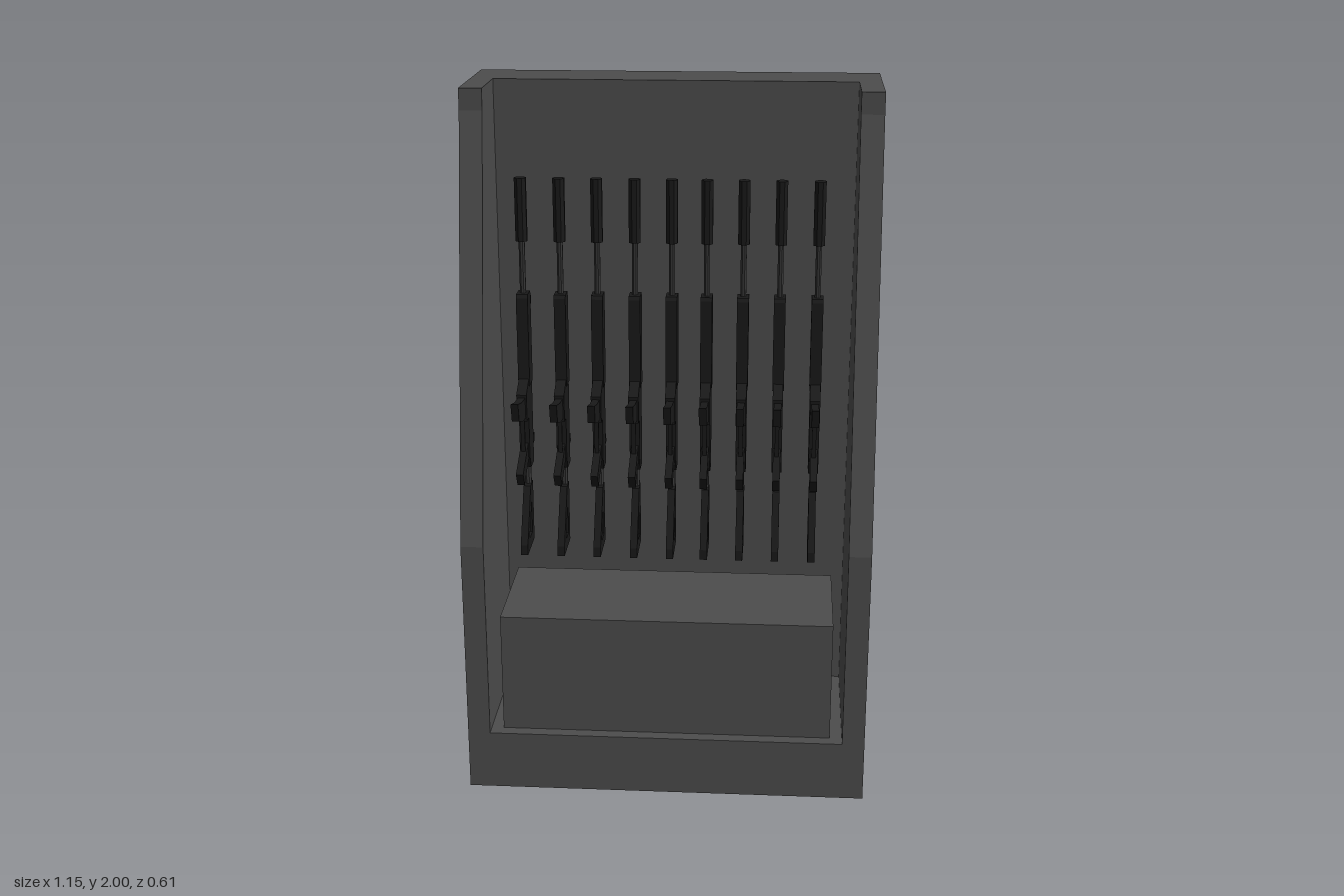
import * as THREE from 'three';

const material = (name, color) => {
  const m = new THREE.MeshStandardMaterial({ color });
  m.name = name;
  return m;
};

// Side profile given as [z, y] points, extruded across x and centred on x = 0
function profile(name, points, width, mat, hole) {
  const toVec = ([z, y]) => new THREE.Vector2(z, y);
  const shape = new THREE.Shape(points.map(toVec));
  if (hole) shape.holes.push(new THREE.Path(hole.map(toVec)));
  const geo = new THREE.ExtrudeGeometry(shape, { depth: width, bevelEnabled: false });
  geo.translate(0, 0, -width / 2).rotateY(-Math.PI / 2);
  const mesh = new THREE.Mesh(geo, mat);
  mesh.name = name;
  return mesh;
}

// Upright faceted rod between two heights
function rod(name, radius, y0, y1, z, sides, mat) {
  const geo = new THREE.CylinderGeometry(radius, radius, y1 - y0, sides).toNonIndexed();
  geo.rotateY(Math.PI / sides);
  geo.computeVertexNormals();
  const mesh = new THREE.Mesh(geo, mat);
  mesh.position.set(0, (y0 + y1) / 2, z);
  mesh.name = name;
  return mesh;
}

function box(name, w, y0, y1, z0, z1, mat) {
  const mesh = new THREE.Mesh(new THREE.BoxGeometry(w, y1 - y0, z1 - z0), mat);
  mesh.position.set(0, (y0 + y1) / 2, (z0 + z1) / 2);
  mesh.name = name;
  return mesh;
}

function createRifle(black, steel) {
  const rifle = new THREE.Group();
  rifle.add(
    // Muzzle, barrel and handguard
    rod('muzzle', 0.0175, 1.56, 1.74, -0.03, 8, black),
    rod('barrel', 0.009, 1.40, 1.57, -0.03, 8, steel),
    profile('handguard', [[-0.058, 1.14], [0.002, 1.14], [0.002, 1.4], [-0.004, 1.41], [-0.052, 1.41], [-0.058, 1.4]], 0.033, black),
    // Receiver with magazine well
    profile('receiver', [[-0.055, 0.89], [0.0, 0.89], [0.022, 0.93], [0.022, 1.05], [0.055, 1.05], [0.06, 1.13], [0.005, 1.16], [-0.055, 1.16]], 0.029, black),
    // Curved magazine
    profile('magazine', [[0.05, 1.06], [0.11, 1.068], [0.175, 1.09], [0.19, 1.145], [0.12, 1.128], [0.05, 1.12]], 0.021, black),
    // Grip and trigger guard
    profile('grip', [[0.015, 0.925], [0.11, 0.875], [0.135, 0.915], [0.015, 0.975]], 0.021, black),
    profile('triggerGuard', [[0.015, 0.965], [0.052, 0.955], [0.052, 1.055], [0.015, 1.055]], 0.012, black,
      [[0.02, 0.972], [0.044, 0.963], [0.044, 1.05], [0.02, 1.05]]),
    // Open-frame stock on a tube
    rod('stockTube', 0.01, 0.82, 0.9, -0.03, 8, steel),
    profile('stock', [[-0.048, 0.645], [0.085, 0.645], [0.085, 0.675], [0.0, 0.83], [-0.048, 0.83]], 0.021, black,
      [[-0.012, 0.68], [0.045, 0.68], [-0.012, 0.775]]),
  );
  // Sights along the top edge
  for (const [name, y] of [['rearSight', 0.93], ['frontSight', 1.35]]) {
    rifle.add(box(name + 'Base', 0.022, y, y + 0.045, -0.072, -0.056, black));
    for (const s of [-1, 1]) {
      const ear = box(name + 'Ear', 0.005, y + 0.01, y + 0.035, -0.095, -0.07, black);
      ear.position.x = s * 0.0095;
      rifle.add(ear);
    }
  }
  return rifle;
}

export function createModel() {
  const model = new THREE.Group();
  const grey = material('cabinet grey', 0x4c4c4c);
  const black = material('rifle black', 0x191919);
  const steel = material('dark steel', 0x343434);

  // Cabinet: base and back in one piece, between two sloping sides
  const cabinet = new THREE.Group();
  cabinet.name = 'cabinet';
  cabinet.add(profile('baseAndBack', [[-0.305, 0], [0.305, 0], [0.305, 0.175], [-0.12, 0.175], [-0.12, 2], [-0.305, 2]], 1.02, grey));
  for (const s of [-1, 1]) {
    const side = profile(s > 0 ? 'leftSide' : 'rightSide',
      [[-0.305, 0], [0.305, 0], [0.305, 0.76], [0.068, 1.94], [0.068, 2], [-0.305, 2]], 0.064, grey);
    side.position.x = s * 0.542;
    cabinet.add(side);
  }
  cabinet.add(box('lowerChest', 0.95, 0.175, 0.53, -0.087, 0.27, grey));
  model.add(cabinet);

  // Row of nine rifles
  [-0.428, -0.32, -0.214, -0.107, -0.002, 0.097, 0.2, 0.304, 0.41].forEach((x, i) => {
    const rifle = createRifle(black, steel);
    rifle.name = 'rifle' + (i + 1);
    rifle.position.x = x;
    model.add(rifle);
  });
  return model;
}
